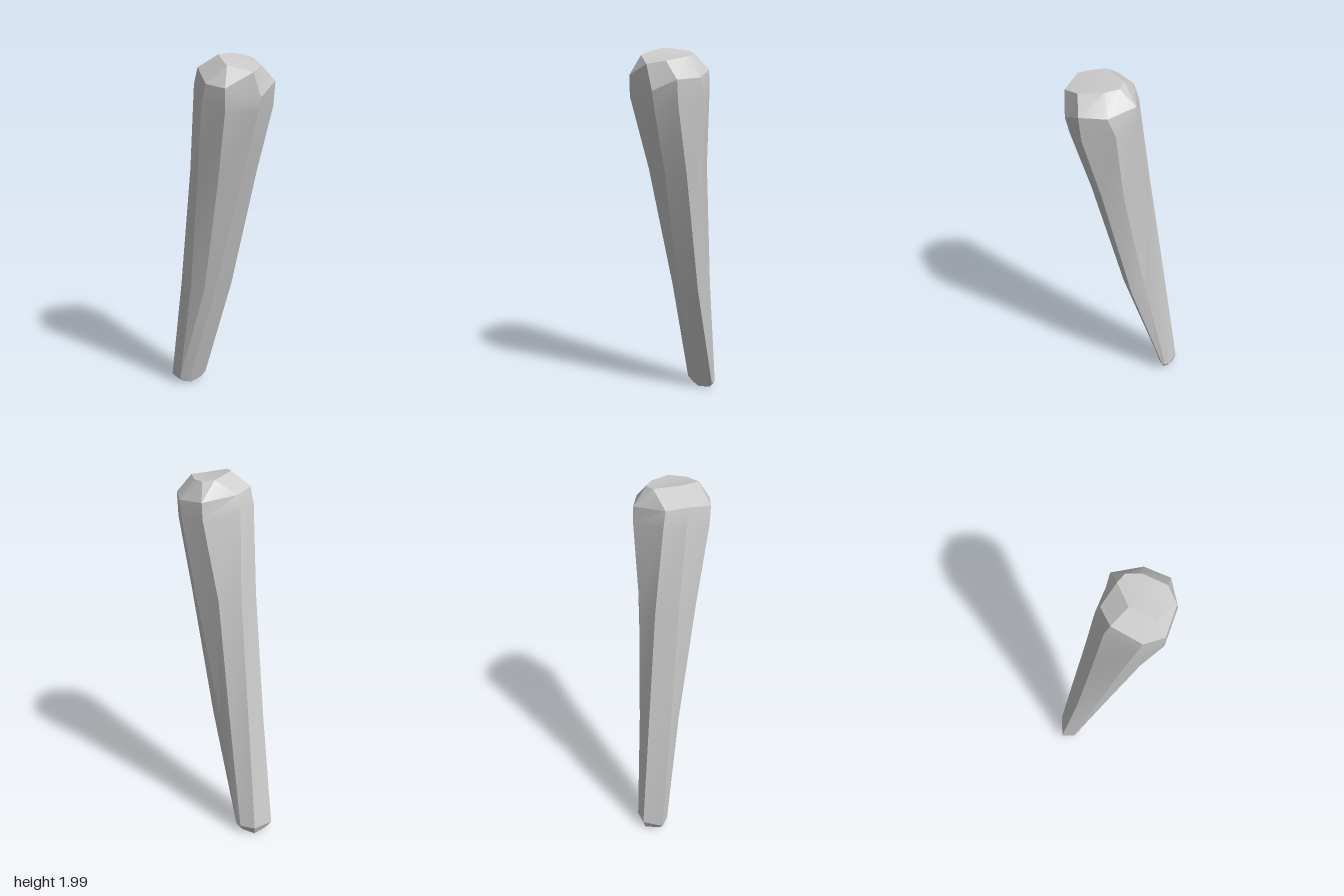
import * as THREE from 'three';
import { toCreasedNormals } from 'three/addons/utils/BufferGeometryUtils.js';

// Joins rings of [x, y, z] corners (bottom to top) into a closed, faceted body.
function loft(rings) {
  const n = rings[0].length;
  const positions = [];
  const tri = (a, b, c) => positions.push(...a, ...b, ...c);
  for (let r = 0; r < rings.length - 1; r++) {
    for (let i = 0; i < n; i++) {
      const j = (i + 1) % n;
      const [a, b, c, d] = [rings[r][i], rings[r][j], rings[r + 1][j], rings[r + 1][i]];
      tri(a, b, c);
      tri(a, c, d);
    }
  }
  // End caps fan out from the middle of the first and last rings
  const middle = (ring) => [0, 1, 2].map((k) => ring.reduce((s, p) => s + p[k], 0) / n);
  const first = rings[0], last = rings[rings.length - 1];
  for (let i = 0; i < n; i++) {
    const j = (i + 1) % n;
    tri(first[j], first[i], middle(first));
    tri(last[i], last[j], middle(last));
  }
  const geometry = new THREE.BufferGeometry();
  geometry.setAttribute('position', new THREE.Float32BufferAttribute(positions, 3));
  return toCreasedNormals(geometry, 0.3);
}

// Level eight-sided section from [x, z] corners
const level = (y, corners) => corners.map(([x, z]) => [x, y, z]);

export function createModel() {
  // Corners run left-hand side, front, right-hand side, back
  const tip = [[-0.092, -0.235], [-0.04, -0.217], [-0.025, -0.212], [0.08, -0.21],
    [0.085, -0.225], [0.078, -0.25], [0.025, -0.314], [-0.09, -0.31]];
  const foot = tip.map(([x, z]) => [x * 0.7, 0.006 + Math.abs(x) * 0.2, -0.257 + (z + 0.257) * 0.75]);

  const lowerShaft = level(0.68, [[-0.115, -0.1], [-0.075, -0.03], [-0.02, 0], [0.1, -0.005],
    [0.105, -0.085], [0.09, -0.16], [0.015, -0.23], [-0.1, -0.2]]);
  const upperShaft = level(1.37, [[-0.167, 0.03], [-0.12, 0.14], [0.005, 0.185], [0.125, 0.165],
    [0.163, 0.06], [0.11, -0.08], [0.005, -0.135], [-0.11, -0.1]]);

  // Swollen head, with its bevelled shoulder and sloping top
  const head = [[-0.205, 1.78, 0.11], [-0.165, 1.76, 0.245], [0.01, 1.72, 0.293], [0.137, 1.74, 0.27],
    [0.205, 1.77, 0.115], [0.16, 1.8, -0.012], [-0.022, 1.83, -0.082], [-0.13, 1.84, -0.04]];
  const shoulder = [[-0.203, 1.88, 0.14], [-0.167, 1.87, 0.245], [0.01, 1.81, 0.314], [0.137, 1.87, 0.282],
    [0.197, 1.87, 0.155], [0.16, 1.89, -0.005], [-0.025, 1.915, -0.055], [-0.13, 1.93, -0.01]];
  const crown = [[-0.1, 1.985, 0.15], [-0.12, 1.97, 0.205], [-0.03, 1.94, 0.3], [0.06, 1.957, 0.26],
    [0.115, 1.97, 0.14], [0.115, 1.975, 0.065], [0.065, 1.985, 0.025], [-0.065, 2, 0.075]];

  const club = new THREE.Mesh(
    loft([foot, level(0.055, tip), lowerShaft, upperShaft, head, shoulder, crown]),
    new THREE.MeshStandardMaterial({ color: 0xcccccc })
  );
  club.name = 'club';

  const group = new THREE.Group();
  group.name = 'woodenClub';
  group.add(club);
  return group;
}
